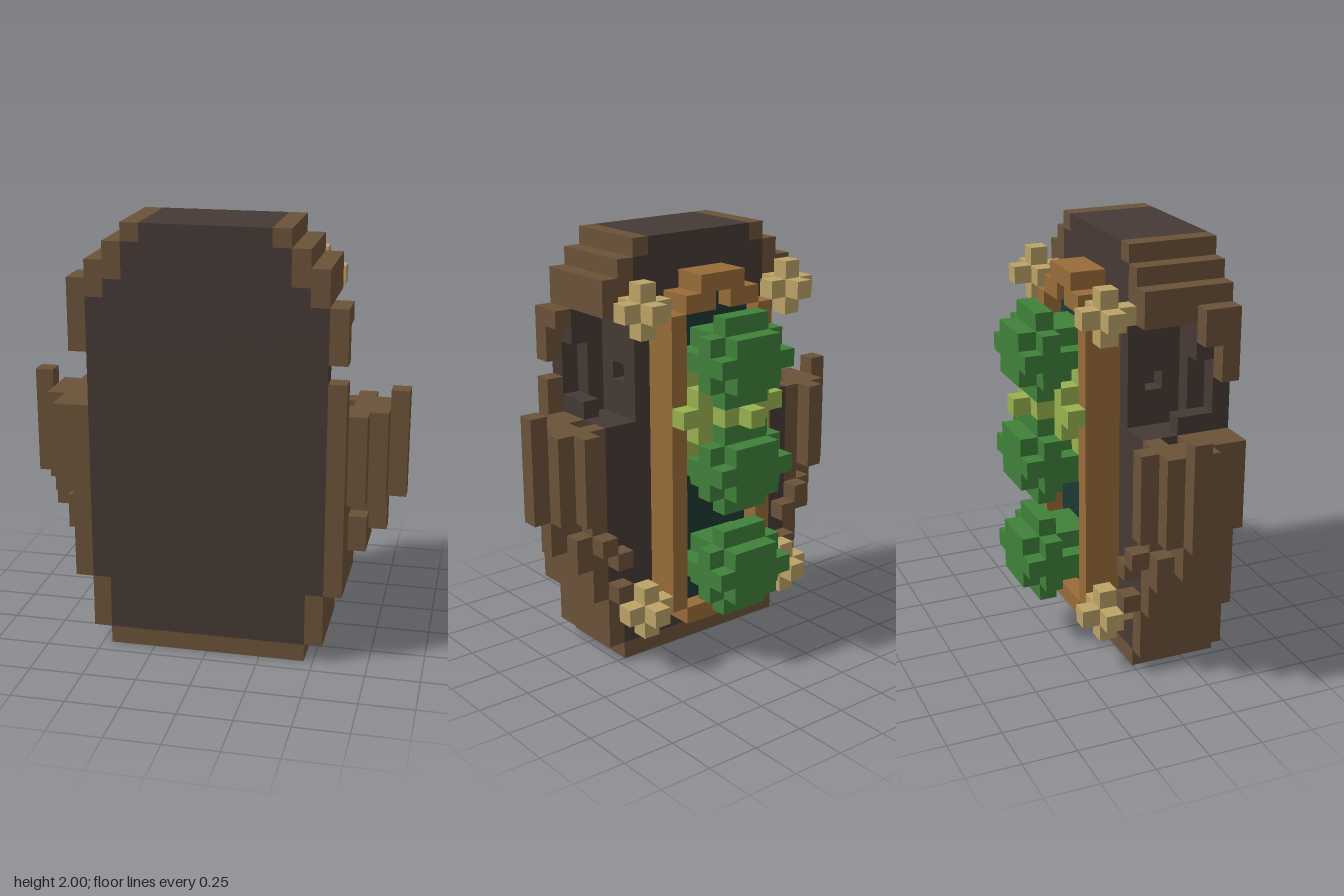
import * as THREE from 'three';

const U = 1 / 12; // size of one block

const COLOURS = {
  darkWood: 0x463a35, bark: 0x6b5239, frameWood: 0x996c39, deepTeal: 0x1d3a34,
  leafGreen: 0x40803a, lightLeaf: 0x98b24f, creamPetal: 0xbca368,
};
// part name -> material name
const PARTS = {
  trunkCore: 'darkWood', barkShell: 'bark', sideArms: 'bark', panelFrame: 'frameWood',
  panelBack: 'deepTeal', bushes: 'leafGreen', lightBush: 'lightLeaf', flowers: 'creamPetal',
};
// the six faces of a block, corners counter-clockwise from outside
const FACES = [
  [[1, 0, 0], [[1, 0, 1], [1, 0, 0], [1, 1, 0], [1, 1, 1]]],
  [[-1, 0, 0], [[0, 0, 0], [0, 0, 1], [0, 1, 1], [0, 1, 0]]],
  [[0, 1, 0], [[0, 1, 1], [1, 1, 1], [1, 1, 0], [0, 1, 0]]],
  [[0, -1, 0], [[0, 0, 0], [1, 0, 0], [1, 0, 1], [0, 0, 1]]],
  [[0, 0, 1], [[0, 0, 1], [1, 0, 1], [1, 1, 1], [0, 1, 1]]],
  [[0, 0, -1], [[1, 0, 0], [0, 0, 0], [0, 1, 0], [1, 1, 0]]],
];

export function createModel() {
  const grid = new Map();
  // fill (or with part = null, carve) an inclusive range of blocks
  const fill = (part, i0, i1, j0, j1, k0, k1) => {
    for (let i = i0; i <= i1; i++) for (let j = j0; j <= j1; j++) for (let k = k0; k <= k1; k++) {
      if (part) grid.set(`${i},${j},${k}`, part);
      else grid.delete(`${i},${j},${k}`);
    }
  };
  // the same on both sides of the middle column 10
  const both = (part, i0, i1, ...rest) => {
    fill(part, i0, i1, ...rest);
    fill(part, 20 - i1, 20 - i0, ...rest);
  };

  // trunk: [first row, last row, bark half width, core half width]
  for (const [j0, j1, outer, core] of [
    [0, 0, 5, -1], [1, 3, 6, 5], [4, 19, 7, 6], [20, 20, 6, 5],
    [21, 21, 6, 4], [22, 22, 5, 4], [23, 23, 4, 3],
  ]) {
    fill('barkShell', 10 - outer, 10 + outer, j0, j1, 5, 9);
    if (core > 0) fill('trunkCore', 10 - core, 10 + core, j0, j1, 5, 9);
  }
  fill('barkShell', 3, 3, 20, 20, 8, 9);

  // hollows in both sides
  both(null, 15, 17, 14, 19, 5, 7);
  both(null, 17, 17, 14, 18, 8, 8);
  both(null, 16, 16, 15, 17, 8, 8);
  both(null, 17, 17, 16, 16, 9, 9);
  fill(null, 3, 3, 14, 16, 9, 9);
  both(null, 14, 14, 16, 16, 6, 6);
  both('trunkCore', 16, 16, 14, 14, 7, 7);
  both(null, 17, 17, 13, 13, 6, 6);

  // bark growths on the sides
  both('sideArms', 18, 18, 9, 13, 4, 8);
  both('sideArms', 19, 19, 9, 13, 5, 7);
  both('sideArms', 20, 20, 9, 14, 6, 6);
  fill('sideArms', 2, 2, 9, 13, 9, 9);
  both('sideArms', 18, 18, 6, 7, 5, 7);
  both('sideArms', 18, 18, 8, 8, 6, 6);
  both('sideArms', 19, 19, 7, 8, 6, 6);
  both('sideArms', 17, 17, 7, 7, 4, 4);
  both('sideArms', 16, 16, 6, 6, 4, 4);
  both('sideArms', 16, 16, 4, 4, 4, 4);

  // framed panel on the back
  fill('panelBack', 8, 12, 3, 19, 4, 4);
  both('panelFrame', 13, 13, 3, 19, 3, 4);
  fill('panelFrame', 8, 12, 2, 2, 3, 4);
  fill('panelFrame', 8, 12, 20, 20, 3, 4);
  fill('panelFrame', 9, 11, 21, 21, 3, 4);
  fill(null, 10, 10, 20, 20, 3, 3);
  fill('panelBack', 10, 10, 20, 20, 4, 4);

  // light bush in the middle of the panel
  fill('lightBush', 8, 12, 12, 16, 3, 3);
  fill('lightBush', 8, 12, 13, 15, 2, 2);
  fill('lightBush', 9, 11, 12, 16, 2, 2);
  fill('lightBush', 7, 13, 14, 14, 2, 2);
  fill('lightBush', 9, 11, 13, 15, 1, 1);
  fill('lightBush', 10, 10, 14, 14, 0, 0);

  // three rounded green bushes
  for (const j of [5, 11, 17]) {
    fill('bushes', 9, 11, j - 1, j + 1, 0, 3);
    fill('bushes', 8, 12, j, j, 0, 3);
    fill('bushes', 8, 12, j - 1, j + 1, 1, 1);
    fill('bushes', 9, 11, j - 2, j + 2, 1, 1);
  }

  // star-shaped flowers at the four corners
  for (const j of [3, 20]) {
    both('flowers', 14, 16, j, j, 3, 3);
    both('flowers', 15, 15, j - 1, j + 1, 3, 3);
    both('flowers', 15, 15, j, j, 2, 4);
  }

  // turn the blocks of each part into one mesh of exposed faces
  const materials = {};
  for (const [name, color] of Object.entries(COLOURS)) {
    materials[name] = new THREE.MeshStandardMaterial({ color });
    materials[name].name = name;
  }
  const group = new THREE.Group();
  group.name = 'blockyTreeTrunk';
  for (const [part, materialName] of Object.entries(PARTS)) {
    const pos = [], nor = [], idx = [];
    for (const [key, owner] of grid) {
      if (owner !== part) continue;
      const [i, j, k] = key.split(',').map(Number);
      for (const [n, corners] of FACES) {
        if (grid.has(`${i + n[0]},${j + n[1]},${k + n[2]}`)) continue;
        const b = pos.length / 3;
        for (const c of corners) {
          pos.push((i + c[0] - 10.5) * U, (j + c[1]) * U, (k + c[2] - 5) * U);
          nor.push(...n);
        }
        idx.push(b, b + 1, b + 2, b, b + 2, b + 3);
      }
    }
    const geometry = new THREE.BufferGeometry();
    geometry.setAttribute('position', new THREE.Float32BufferAttribute(pos, 3));
    geometry.setAttribute('normal', new THREE.Float32BufferAttribute(nor, 3));
    geometry.setIndex(idx);
    const mesh = new THREE.Mesh(geometry, materials[materialName]);
    mesh.name = part;
    group.add(mesh);
  }
  return group;
}
